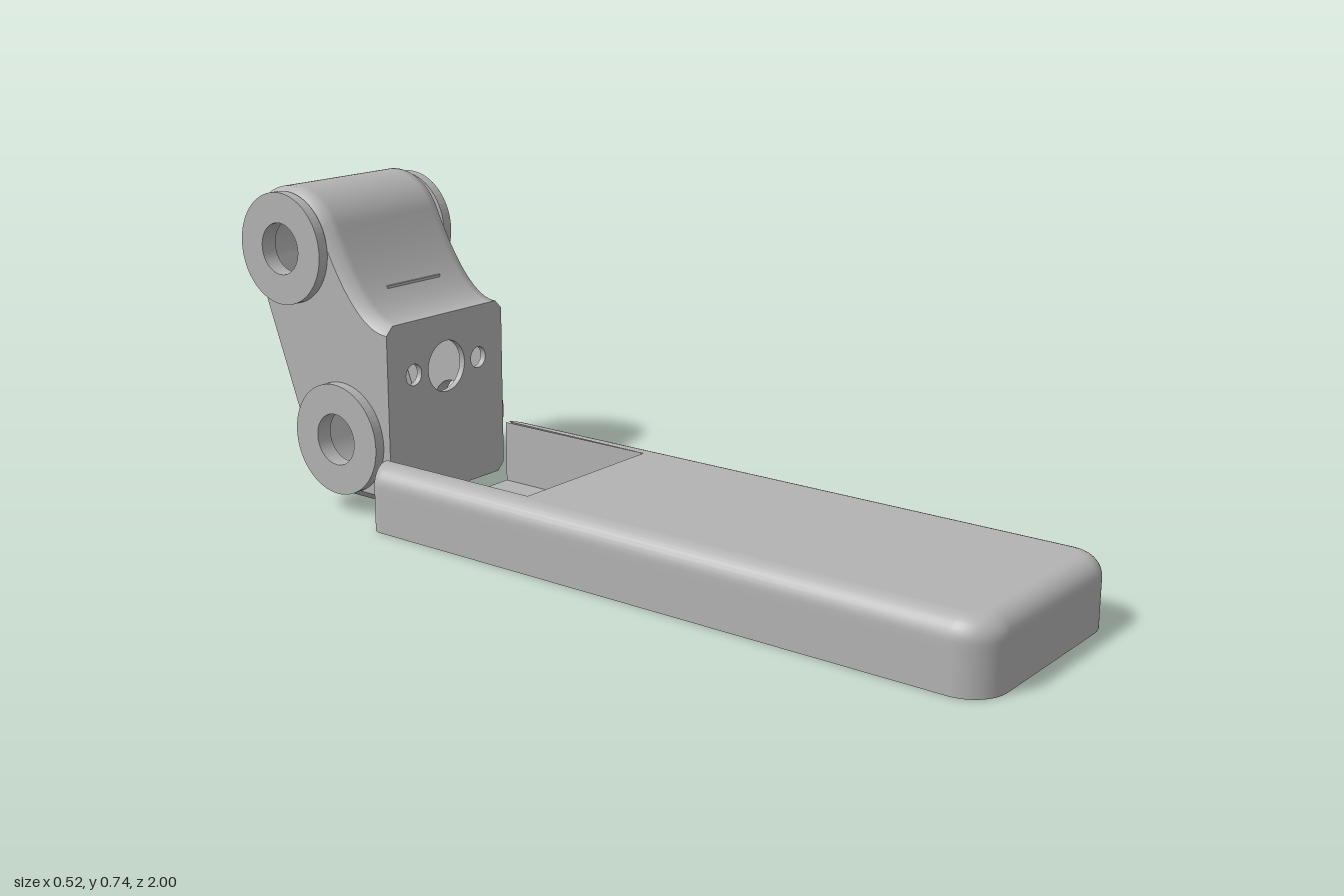
import * as THREE from 'three';

const grey = new THREE.MeshStandardMaterial({ color: 0xb3b3b3, side: THREE.DoubleSide });
grey.name = 'plain grey';

function add(group, name, geometry, x = 0, y = 0, z = 0) {
  const mesh = new THREE.Mesh(geometry, grey);
  mesh.name = name;
  mesh.position.set(x, y, z);
  group.add(mesh);
  return mesh;
}

// Smooth surface from a grid of points: at(i, j) returns [x, y, z]
function gridSurface(rows, cols, at) {
  const positions = [], index = [];
  for (let i = 0; i < rows; i++) {
    for (let j = 0; j < cols; j++) {
      positions.push(...at(i, j));
      if (i && j) {
        const d = i * cols + j, c = d - 1, b = d - cols, a = b - 1;
        index.push(a, b, d, a, d, c);
      }
    }
  }
  const g = new THREE.BufferGeometry();
  g.setAttribute('position', new THREE.Float32BufferAttribute(positions, 3));
  g.setIndex(index);
  g.computeVertexNormals();
  return g;
}

function hole(shape, x, y, r) {
  const h = new THREE.Path();
  h.absarc(x, y, r, 0, Math.PI * 2, true);
  shape.holes.push(h);
}

const extrude = (shape, depth) =>
  new THREE.ExtrudeGeometry(shape, { depth, bevelEnabled: false, curveSegments: 32 });

// Long base tray: rounded outside, with an open notch at the back
function createBase() {
  const base = new THREE.Group();
  base.name = 'base';
  const H = 0.15, R = 0.045, N = 0.2, back = -0.55, notch = -0.13, q = Math.PI / 2;

  const path = new THREE.Path();
  path.moveTo(N, back);
  path.absarc(0.23, back + 0.03, 0.03, -q, 0, false);
  path.absarc(0.18, 0.92, 0.08, 0, q, false);
  path.absarc(-0.18, 0.92, 0.08, q, 2 * q, false);
  path.absarc(-0.23, back + 0.03, 0.03, 2 * q, 3 * q, false);
  path.lineTo(-N, back);
  const outline = path.getPoints(10);

  const inset = (p, d) => {
    if (p.y < 0) return new THREE.Vector2(p.x - Math.sign(p.x) * d * (Math.abs(p.x) - N) / 0.06, p.y);
    const c = new THREE.Vector2(THREE.MathUtils.clamp(p.x, -0.18, 0.18), Math.min(p.y, 0.92));
    return p.clone().sub(p.clone().sub(c).normalize().multiplyScalar(d));
  };
  const rings = [[0, 0], [0.05, 0], [0.09, 0]];
  for (let k = 0; k <= 8; k++) {
    const a = k / 8 * q;
    rings.push([H - R + R * Math.sin(a), R * (1 - Math.cos(a))]);
  }
  add(base, 'baseSides', gridSurface(outline.length, rings.length, (i, j) => {
    const p = inset(outline[i], rings[j][1]);
    return [p.x, rings[j][0], p.y];
  }));

  const flip = (p) => new THREE.Vector2(p.x, -p.y);
  const topEdge = outline.map((p) => flip(inset(p, R)));
  topEdge.push(new THREE.Vector2(-N, -notch), new THREE.Vector2(N, -notch));
  add(base, 'baseTop', new THREE.ShapeGeometry(new THREE.Shape(topEdge)).rotateX(-q), 0, H, 0);
  add(base, 'baseFloor', extrude(new THREE.Shape(outline.map(flip)), 0.004).rotateX(-q));

  // Inner walls of the notch
  const length = notch - back;
  for (const s of [-1, 1]) {
    add(base, 'notchSideWall', new THREE.PlaneGeometry(length, H).rotateY(-s * q), s * N, H / 2, (notch + back) / 2);
  }
  add(base, 'notchFrontWall', new THREE.PlaneGeometry(2 * N, H).rotateY(Math.PI), 0, H / 2, notch);
  return base;
}

// Hollow upright bracket with two cross bores
function createBracket() {
  const bracket = new THREE.Group();
  bracket.name = 'bracket';
  const W = 0.19, B = 0.02, T = 0.015, front = -0.55, low = 0.035, high = 0.455;
  const bores = [[-0.86, 0.6], [-0.7, 0.175]];
  const deg = Math.PI / 180;

  // Side profile as (z, y), from the top of the front plate round to its foot
  const [a, b] = bores;
  const path = new THREE.Path();
  path.moveTo(front, high);
  const start = [a[0] + 0.14 * Math.cos(25 * deg), a[1] + 0.14 * Math.sin(25 * deg)];
  path.quadraticCurveTo(-0.637, high, ...start);
  path.absarc(...a, 0.14, 25 * deg, 200 * deg, false);
  path.absarc(...b, 0.14, 200 * deg, 270 * deg, false);
  path.lineTo(front, low);
  const profile = path.getPoints(24);
  const inner = profile.map((p, i) => {
    const last = profile.length - 1;
    const t = profile[Math.min(i + 1, last)].clone().sub(profile[Math.max(i - 1, 0)]).normalize();
    const z = i === 0 || i === last ? front : p.x - t.y * B;
    const y = i === 0 ? high - B : i === last ? low + B : p.y + t.x * B;
    return new THREE.Vector2(z, y);
  });

  // Wrapped skin with chamfered edges
  const columns = [-W, -W + B, -W + 2 * B, W - 2 * B, W - B, W];
  add(bracket, 'bracketSkin', gridSurface(profile.length, columns.length, (i, j) => {
    const p = Math.abs(columns[j]) === W ? inner[i] : profile[i];
    return [columns[j], p.y, p.x];
  }));

  // Side plates and raised collars
  const plate = new THREE.Shape(inner);
  for (const c of bores) hole(plate, ...c, 0.06);
  const plateGeometry = extrude(plate, T).rotateY(-Math.PI / 2);
  const ring = new THREE.Shape();
  ring.absarc(0, 0, 0.13, 0, Math.PI * 2, false);
  hole(ring, 0, 0, 0.06);
  const collar = extrude(ring, 0.025).rotateY(-Math.PI / 2);
  for (const s of [-1, 1]) {
    add(bracket, 'sidePlate', plateGeometry, s > 0 ? W : -W + T);
    for (const [z, y] of bores) add(bracket, 'collar', collar, s > 0 ? W + 0.025 : -W, y, z);
  }

  // Front plate with one large and two small holes
  const face = new THREE.Shape([
    [-W, low + B], [-W + B, low], [W - B, low], [W, low + B],
    [W, high - B], [W - B, high], [-W + B, high], [-W, high - B],
  ].map((p) => new THREE.Vector2(...p)));
  hole(face, 0, 0.33, 0.06);
  for (const s of [-1, 1]) hole(face, s * 0.107, 0.33, 0.025);
  add(bracket, 'frontPlate', extrude(face, T), 0, 0, front - T);

  // Narrow seams on the front and back
  add(bracket, 'frontSeam', new THREE.BoxGeometry(0.172, 0.006, 0.008), 0, 0.517, -0.65);
  add(bracket, 'backSeam', new THREE.BoxGeometry(0.172, 0.006, 0.006), 0, 0.39, -0.934);
  return bracket;
}

export function createModel() {
  const model = new THREE.Group();
  model.name = 'hingedStand';
  model.add(createBase(), createBracket());
  return model;
}
